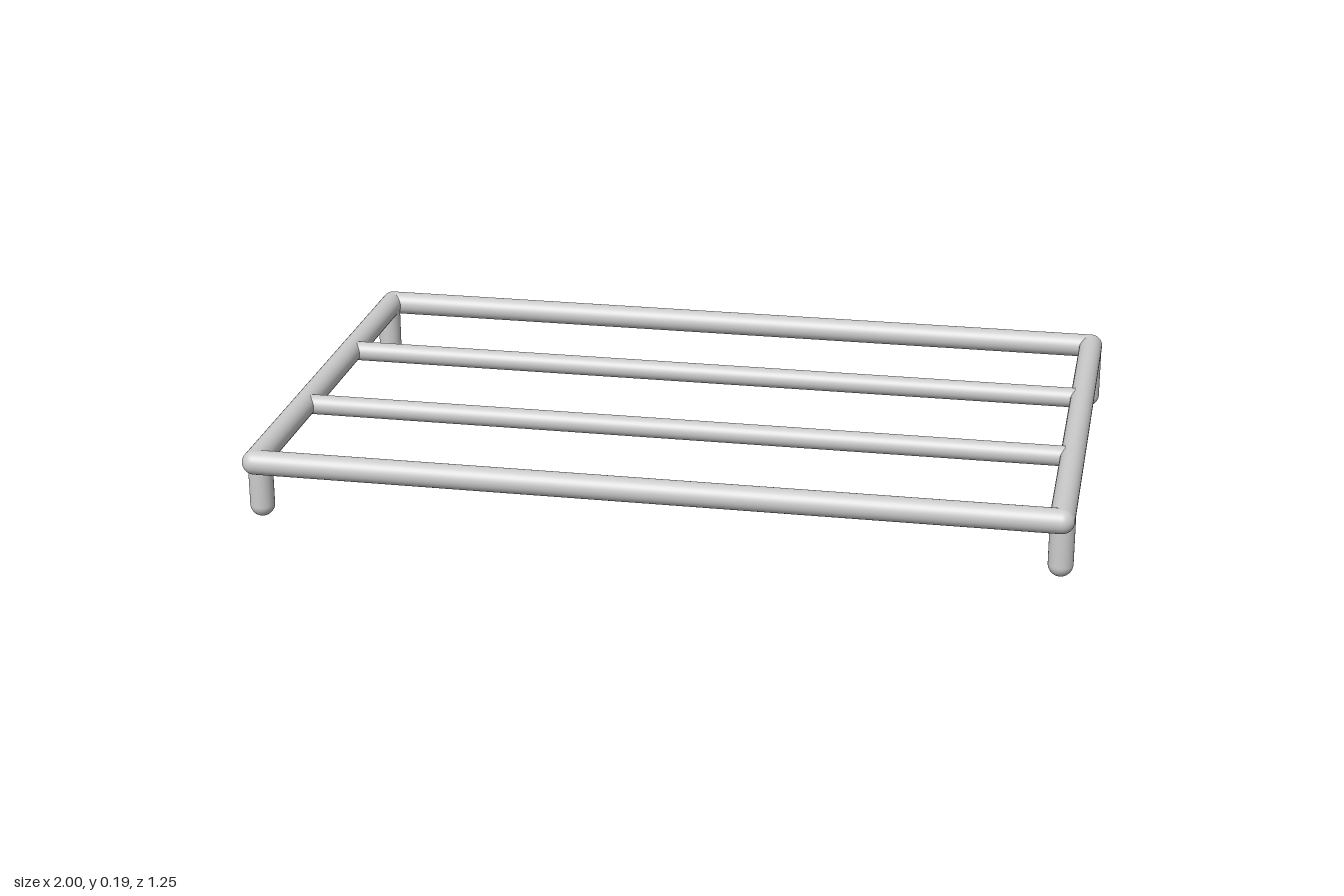
import * as THREE from 'three';

const R = 0.03;        // frame tube radius
const ROD_R = 0.025;   // cross rod radius
const X = 0.97;        // side rail centre
const Z = 0.597;       // front and back rail centre
const Y = 0.155;       // height of the frame centre
const LEG_Z = 0.557;

export function createModel() {
  const group = new THREE.Group();
  const material = new THREE.MeshStandardMaterial({ color: 0xcccccc });

  // Round-ended bar; length is measured between the centres of its end caps
  function bar(name, radius, length, axis, x, y, z) {
    const geometry = new THREE.CapsuleGeometry(radius, length, 12, 32);
    if (axis === 'x') geometry.rotateZ(Math.PI / 2);
    if (axis === 'z') geometry.rotateX(Math.PI / 2);
    const mesh = new THREE.Mesh(geometry, material);
    mesh.name = name;
    mesh.position.set(x, y, z);
    group.add(mesh);
  }

  // Outer frame, with rounded corners where the caps coincide
  bar('frontRail', R, 2 * X, 'x', 0, Y, Z);
  bar('backRail', R, 2 * X, 'x', 0, Y, -Z);
  bar('leftRail', R, 2 * Z, 'z', X, Y, 0);
  bar('rightRail', R, 2 * Z, 'z', -X, Y, 0);

  // Thinner cross rods
  bar('frontCrossRod', ROD_R, 2 * X - 0.02, 'x', 0, Y, 0.2);
  bar('backCrossRod', ROD_R, 2 * X - 0.02, 'x', 0, Y, -0.2);

  // Four round-tipped legs under the side rails
  for (const sx of [1, -1]) {
    for (const sz of [1, -1]) {
      const name = (sz > 0 ? 'front' : 'back') + (sx > 0 ? 'Left' : 'Right') + 'Leg';
      bar(name, R, Y - R, 'y', sx * X, (Y + R) / 2, sz * LEG_Z);
    }
  }
  return group;
}
